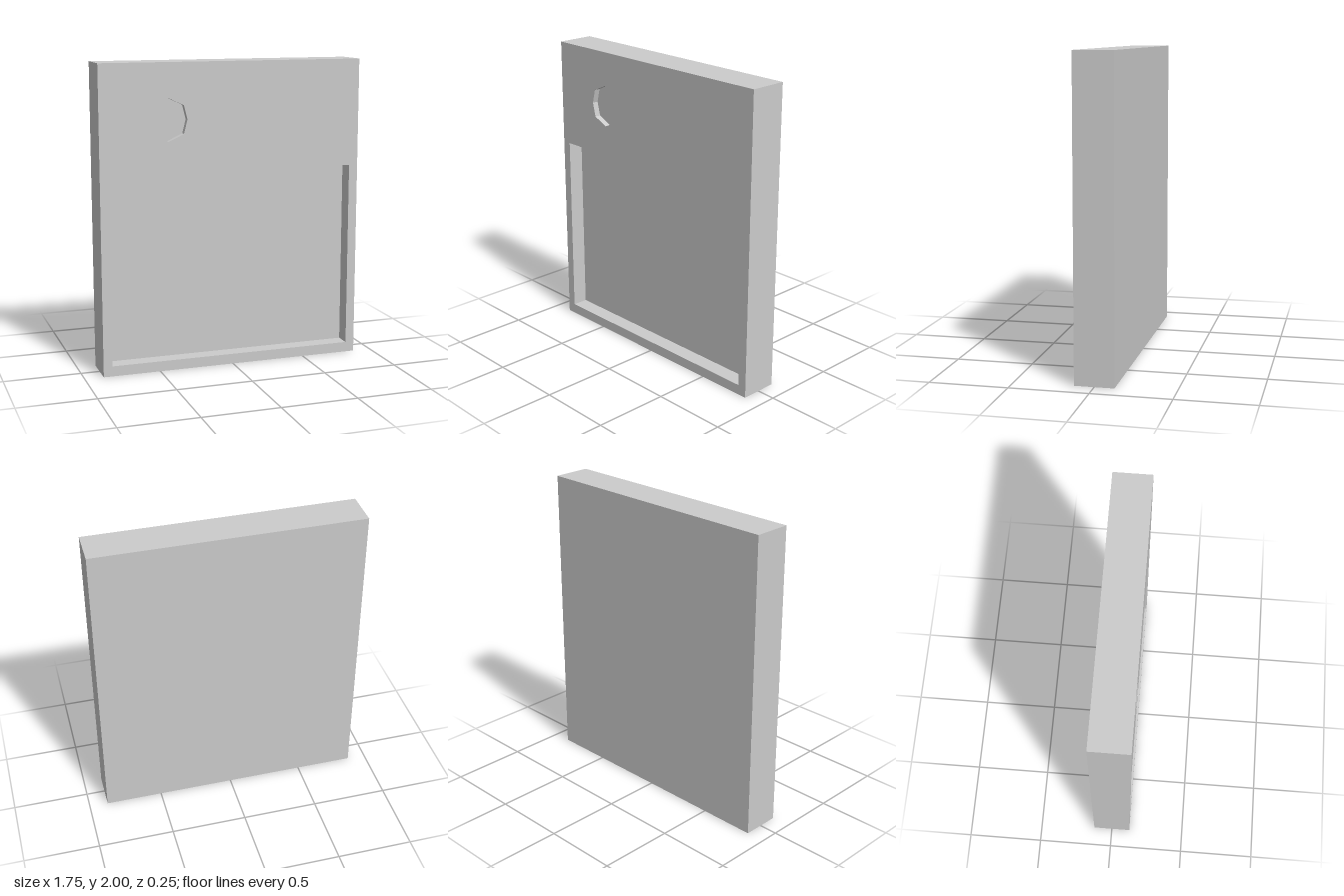
import * as THREE from 'three';

const FRONT = 0.125, BACK = -0.125;
const material = new THREE.MeshStandardMaterial({ color: 0xcccccc, flatShading: true });

const rect = (x0, y0, x1, y1) =>
  [[x0, y0], [x1, y0], [x1, y1], [x0, y1]].map(([x, y]) => new THREE.Vector2(x, y));

// Strip of walls between two depths; a counter-clockwise loop faces outward
function wall(loop, z0, z1) {
  const pos = [];
  loop.forEach((a, i) => {
    const b = loop[(i + 1) % loop.length];
    pos.push(a.x, a.y, z0, b.x, b.y, z0, b.x, b.y, z1);
    pos.push(a.x, a.y, z0, b.x, b.y, z1, a.x, a.y, z1);
  });
  const g = new THREE.BufferGeometry();
  g.setAttribute('position', new THREE.Float32BufferAttribute(pos, 3));
  g.computeVertexNormals();
  return g;
}

// Flat face at a depth, facing the front
const face = (loop, z, holes = []) => {
  const shape = new THREE.Shape(loop);
  shape.holes = holes.map((h) => new THREE.Path(h));
  return new THREE.ShapeGeometry(shape).translate(0, 0, z);
};

export function createModel() {
  const group = new THREE.Group();
  const add = (name, geometry, parent = group) => {
    const mesh = new THREE.Mesh(geometry, material);
    mesh.name = name;
    parent.add(mesh);
    return mesh;
  };

  const outline = rect(-0.877, 0, 0.877, 2);
  const pocket = rect(-0.818, 0.067, 0.818, 1.297);
  // Slightly uneven octagon for the round recess
  const octagon = [[0.125, 0], [0.102, 0.091], [0, 0.138], [-0.102, 0.091],
    [-0.125, 0], [-0.102, -0.091], [0, -0.138], [0.102, -0.091]]
    .map(([x, y]) => new THREE.Vector2(x - 0.431, y + 1.638));

  // Slab body
  add('frontFace', face(outline, FRONT, [pocket, octagon]));
  add('sides', wall(outline, BACK, FRONT));
  add('backFace', face(outline, -BACK).rotateY(Math.PI));

  // Recesses sunk into the front
  const recess = (name, loop, depth) => {
    const part = new THREE.Group();
    part.name = name;
    add(name + 'Walls', wall([...loop].reverse(), FRONT - depth, FRONT), part);
    add(name + 'Floor', face(loop, FRONT - depth), part);
    group.add(part);
  };
  recess('largePocket', pocket, 0.105);
  recess('roundRecess', octagon, 0.04);

  return group;
}
